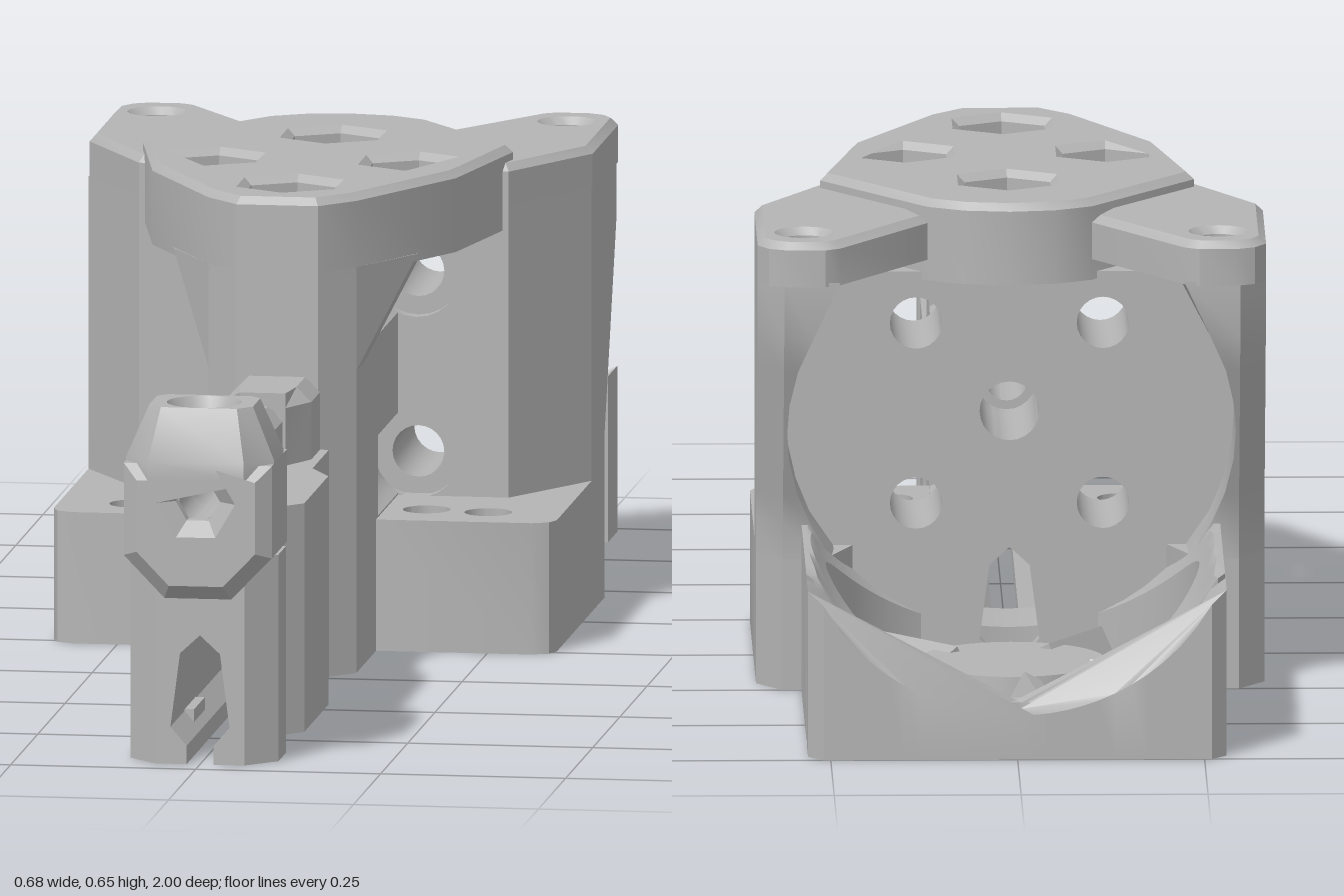
import * as THREE from 'three';
import { toCreasedNormals, mergeVertices } from 'three/addons/utils/BufferGeometryUtils.js';
import { ConvexGeometry } from 'three/addons/geometries/ConvexGeometry.js';

const ROD_Y = 0.36, TROUGH_R = 0.3;
const FAN_Z = -0.62, FAN_R = 0.25;

export function createModel() {
  const model = new THREE.Group();
  model.name = 'motorMount';
  const grey = new THREE.MeshStandardMaterial({ color: 0xb4b4b4 });
  grey.name = 'grey plastic';

  const add = (name, geo) => {
    const mesh = new THREE.Mesh(toCreasedNormals(geo, 0.5), grey);
    mesh.name = name;
    model.add(mesh);
    return mesh;
  };
  const shapeOf = (pts, holes = []) => {
    const s = new THREE.Shape(pts.map(p => new THREE.Vector2(p[0], p[1])));
    for (const h of holes) s.holes.push(new THREE.Path(h.map(p => new THREE.Vector2(p[0], p[1]))));
    return s;
  };
  const ring = (x, y, r, n = 24, turn = 0) => Array.from({ length: n }, (_, i) => {
    const a = turn + i / n * Math.PI * 2;
    return [x + r * Math.cos(a), y + r * Math.sin(a)];
  });
  // Moves every vertex by a rule
  const reshape = (geo, rule) => {
    const p = geo.attributes.position, v = new THREE.Vector3();
    for (let i = 0; i < p.count; i++) {
      v.fromBufferAttribute(p, i);
      rule(v);
      p.setXYZ(i, v.x, v.y, v.z);
    }
    geo.computeVertexNormals();
    return geo;
  };
  const extrude = (shape, depth, size, thick) => new THREE.ExtrudeGeometry(shape, {
    depth: depth - thick, bevelEnabled: size > 0, bevelSize: size,
    bevelOffset: -size, bevelThickness: thick, bevelSegments: 1,
  });
  // Upright prism of an (x, z) shape, chamfered on its top edge only
  const upright = (shape, y0, y1, size = 0, thick = size) => {
    const depth = y1 - y0;
    const g = reshape(extrude(shape, depth, size, thick), v => { v.z = Math.min(v.z, depth - thick); });
    return g.rotateX(Math.PI / 2).translate(0, y1 - thick, 0);
  };
  // Prism of an (x, y) shape along z, chamfered on its front edge only
  const along = (shape, z0, z1, size = 0) =>
    reshape(extrude(shape, z1 - z0, size, size), v => { v.z = Math.max(v.z, 0); }).translate(0, 0, z0);

  // Surface through rings of points
  const skin = (rings, closed) => {
    const n = rings[0].length, pos = rings.flat(2), idx = [];
    for (let i = 0; i < rings.length - (closed ? 0 : 1); i++) for (let j = 0; j < n; j++) {
      const k = (i + 1) % rings.length, m = (j + 1) % n;
      idx.push(i * n + j, i * n + m, k * n + j, i * n + m, k * n + m, k * n + j);
    }
    const g = new THREE.BufferGeometry();
    g.setAttribute('position', new THREE.Float32BufferAttribute(pos, 3));
    g.setIndex(idx);
    g.computeVertexNormals();
    return g;
  };

  // Cross-section with the keyhole channel cut up from below
  const channel = [[0.018, 0], [0.018, 0.025], [0.04, 0.05], [0.038, 0.065], [0.027, 0.15]];
  const notched = (side, holes) => shapeOf([
    ...side,
    ...side.map(p => [-p[0], p[1]]).reverse(),
    ...channel.map(p => [-p[0], p[1]]),
    [0, 0.175],
    ...[...channel].reverse(),
  ], holes);
  const rodHole = ring(0, ROD_Y, 0.028);

  // Fan floor: trough for a round motor, pierced by the air opening
  const trough = x => ROD_Y - Math.sqrt(Math.max(0, TROUGH_R ** 2 - x * x));
  const top = x => Math.min(0.225, trough(x));
  const floorRings = Array.from({ length: 72 }, (_, i) => {
    const a = i / 72 * Math.PI * 2, c = Math.cos(a), s = Math.sin(a);
    const R = Math.min(0.28 / Math.abs(c), (s < 0 ? 0.27 : 0.38) / Math.abs(s));
    const at = (r, y) => [r * c, y ?? top(r * c), FAN_Z + r * s];
    const pts = [at(FAN_R, 0), at(R, 0)];
    for (let k = 6; k >= 0; k--) pts.push(at(FAN_R + (R - FAN_R) * k / 6));
    return pts;
  });
  add('fanFloor', skin(floorRings, true));

  // Rear strip of the trough with its screw hole
  const xs = Array.from({ length: 25 }, (_, i) => -0.26 + i * 0.52 / 24);
  const strip = shapeOf([
    [-0.28, -0.889], [-0.28, -0.975], ...xs.map(x => [x, -1]),
    [0.28, -0.975], [0.28, -0.889], ...[...xs].reverse().map(x => [x, -0.889]),
  ], [ring(0, -0.935, 0.03)]);
  add('rearStrip', reshape(upright(strip, 0, 0.2), v => { if (v.y > 0.1) v.y = top(v.x); }));

  // Fan hub and spokes
  add('fanHub', new THREE.CylinderGeometry(0.125, 0.13, 0.06, 40).translate(0, 0.03, FAN_Z + 0.02));
  for (let i = 0; i < 5; i++) {
    const g = new THREE.BoxGeometry(0.025, 0.06, 0.17).rotateZ(0.5).translate(0, 0.035, -0.19);
    add('fanSpoke', g.rotateY(-i * Math.PI * 0.4 + 0.1).translate(0, 0, FAN_Z));
  }

  for (const s of [1, -1]) {
    const flip = pts => pts.map(p => [s * p[0], p[1]]);
    // Wide foot with two screw holes
    add('sideBase', upright(shapeOf(flip([
      [0.09, 0.02], [0.31, 0.02], [0.332, 0.01], [0.34, -0.01], [0.34, -0.45], [0.305, -0.5],
      [0.25, -0.5], [0.21, -0.4], [0.2, -0.24], [0.09, -0.24],
    ]), [ring(s * 0.24, -0.06, 0.032), ring(s * 0.155, -0.07, 0.032)]), 0, 0.178));

    // Leaning post, hollowed by the motor's round body
    const levels = [0, 0.1, 0.16, 0.225, 0.27, 0.32, 0.36, 0.4, 0.45, 0.5, 0.575];
    const rings = levels.map(y => {
      const w = Math.sqrt(Math.max(0, TROUGH_R ** 2 - (y - ROD_Y) ** 2));
      const zb = -0.5 - 0.11 * THREE.MathUtils.clamp((y - 0.225) / 0.275, 0, 1);
      const pts = [[0.2, -0.18], [0.25, -0.18], [0.34, -0.33], [0.34, zb + 0.05], [0.305, zb],
        [Math.max(0.23, w), zb], [Math.max(0.2, w), -0.4], [0.2, -0.4]].map(p => [s * p[0], y, p[1]]);
      return s > 0 ? pts : pts.reverse();
    });
    add('post', skin(rings, false));

    // Ear on top of the post
    add('ear', upright(shapeOf(flip([
      [0.2, -0.18], [0.25, -0.18], [0.34, -0.34], [0.34, -0.575], [0.325, -0.6], [0.3, -0.613],
      [0.25, -0.613], [0.23, -0.6], [0.11, -0.42],
    ]), [ring(s * 0.277, -0.535, 0.03)]), 0.57, 0.63, 0.01));

    // Gusset spreading from the column to the top plate
    add('gusset', new ConvexGeometry([
      [0.09, 0.41, 0.2], [0.1, 0.41, 0.2], [0.1, 0.41, 0.12], [0.09, 0.41, 0.12],
      [0.09, 0.55, 0.2], [0.1, 0.55, 0.2], [0.165, 0.55, 0.08], [0.165, 0.55, 0], [0.09, 0.55, 0],
    ].map(p => new THREE.Vector3(s * p[0], p[1], p[2]))));

    // Washer floor of the side nut pocket
    add('nutFloor', upright(shapeOf(ring(s * 0.135, -0.07, 0.08, 6, Math.PI / 6),
      [ring(s * 0.135, -0.07, 0.03)]), 0.545, 0.58));
  }

  // Motor wall with counterbored screw holes
  const bolts = [[0.125, 0.235], [0.125, 0.48], [-0.125, 0.235], [-0.125, 0.48]];
  for (const [name, r, z0, z1] of [['motorWall', 0.035, -0.4, -0.2], ['counterbores', 0.06, -0.2, -0.18]]) {
    add(name, along(notched([[0.25, 0], [0.25, 0.55]],
      [ring(0, ROD_Y, 0.04), ...bolts.map(b => ring(b[0], b[1], r))]), z0, z1));
  }

  // Web with screwdriver channels bitten out of its sides
  const bite = cy => Array.from({ length: 11 }, (_, i) => {
    const a = Math.PI + 1.141 - i * 0.2282;
    return [0.125 + 0.06 * Math.cos(a), cy + 0.06 * Math.sin(a)];
  });
  add('web', along(notched([[0.1, 0], ...bite(0.235), ...bite(0.48), [0.1, 0.55]], [rodHole]), -0.18, 0));

  // Body pieces along z: name, top, z0, half width, z1, half width
  const runs = [
    ['column', 0.55, 0, 0.1, 0.2, 0.1],
    ['columnFront', 0.55, 0.2, 0.1, 0.25, 0.055],
    ['beam', 0.31, 0.25, 0.07, 0.4, 0.07],
    ['beam', 0.31, 0.4, 0.07, 0.46, 0.1],
    ['beam', 0.31, 0.46, 0.1, 0.68, 0.1],
    ['beam', 0.31, 0.68, 0.1, 0.725, 0.062],
    ['beamNeck', 0.31, 0.725, 0.062, 0.85, 0.062],
    ['foot', 0.28, 0.85, 0.1, 0.92, 0.1],
    ['footFront', 0.28, 0.92, 0.1, 0.96, 0.06],
  ];
  for (const [name, h, z0, w0, z1, w1] of runs) {
    const g = along(notched([[0.1, 0], [0.1, h]], h > 0.5 ? [rodHole] : []), z0, z1);
    add(name, reshape(g, v => {
      if (Math.abs(v.x) > 0.09) v.x = Math.sign(v.x) * (v.z < (z0 + z1) / 2 ? w0 : w1);
    }));
  }
  add('neckPad', new THREE.BoxGeometry(0.05, 0.045, 0.1).translate(0.052, 0.03, 0.78));
  add('neckPad', new THREE.BoxGeometry(0.05, 0.045, 0.1).translate(-0.052, 0.03, 0.78));

  // Top plate with hexagonal nut pockets
  const edge = [[0.055, 0.25], [0.1, 0.2], [0.205, 0], [0.25, -0.22], [0.11, -0.41], [0.06, -0.438]];
  const nuts = [[0, -0.27], [0.135, -0.07], [-0.135, -0.07], [0, 0.13]];
  add('topPlate', upright(shapeOf([...edge, [0, -0.447], ...edge.map(p => [-p[0], p[1]]).reverse()],
    nuts.map(n => ring(n[0], n[1], 0.066, 6, Math.PI / 6))), 0.54, 0.65, 0.01));

  // Rod clamps on the beam, pointed toward the gap
  const clampShape = (w, h) => shapeOf([[w, 0.3], [w, h - 0.02], [w - 0.02, h], [0.02 - w, h], [-w, h - 0.02], [-w, 0.3]], [rodHole]);
  const taper = (g, zEnd) => reshape(g, v => {
    if (Math.abs(v.z - zEnd) < 0.001 && Math.abs(v.x) > 0.0285) v.x = Math.sign(v.x) * 0.031;
  });
  add('rearClamp', along(clampShape(0.058, 0.408), 0.25, 0.33));
  add('rearClampTip', taper(along(clampShape(0.058, 0.408), 0.33, 0.385), 0.385));
  add('frontClampTip', taper(along(clampShape(0.066, 0.41), 0.575, 0.65), 0.575));
  add('frontClamp', along(clampShape(0.066, 0.435), 0.65, 0.85));

  // Nose head with a hexagonal socket in front
  const head = hole => shapeOf([
    [0.1, 0.41], [0.1, 0.285], [0.045, 0.228], [-0.045, 0.228], [-0.1, 0.285], [-0.1, 0.41],
  ], [hole]);
  add('noseBody', along(head(rodHole), 0.84, 0.96));
  add('noseFront', along(head(ring(0, ROD_Y, 0.03, 6)), 0.96, 1, 0.02));

  // Nose cap with a countersunk hole on top
  add('noseCap', upright(shapeOf([
    [0.1, 0.87], [0.1, 0.96], [0.065, 1], [-0.065, 1], [-0.1, 0.96], [-0.1, 0.87], [-0.07, 0.835], [0.07, 0.835],
  ], [ring(0, 0.92, 0.02)]), 0.39, 0.485, 0.03, 0.07));

  return model;
}
